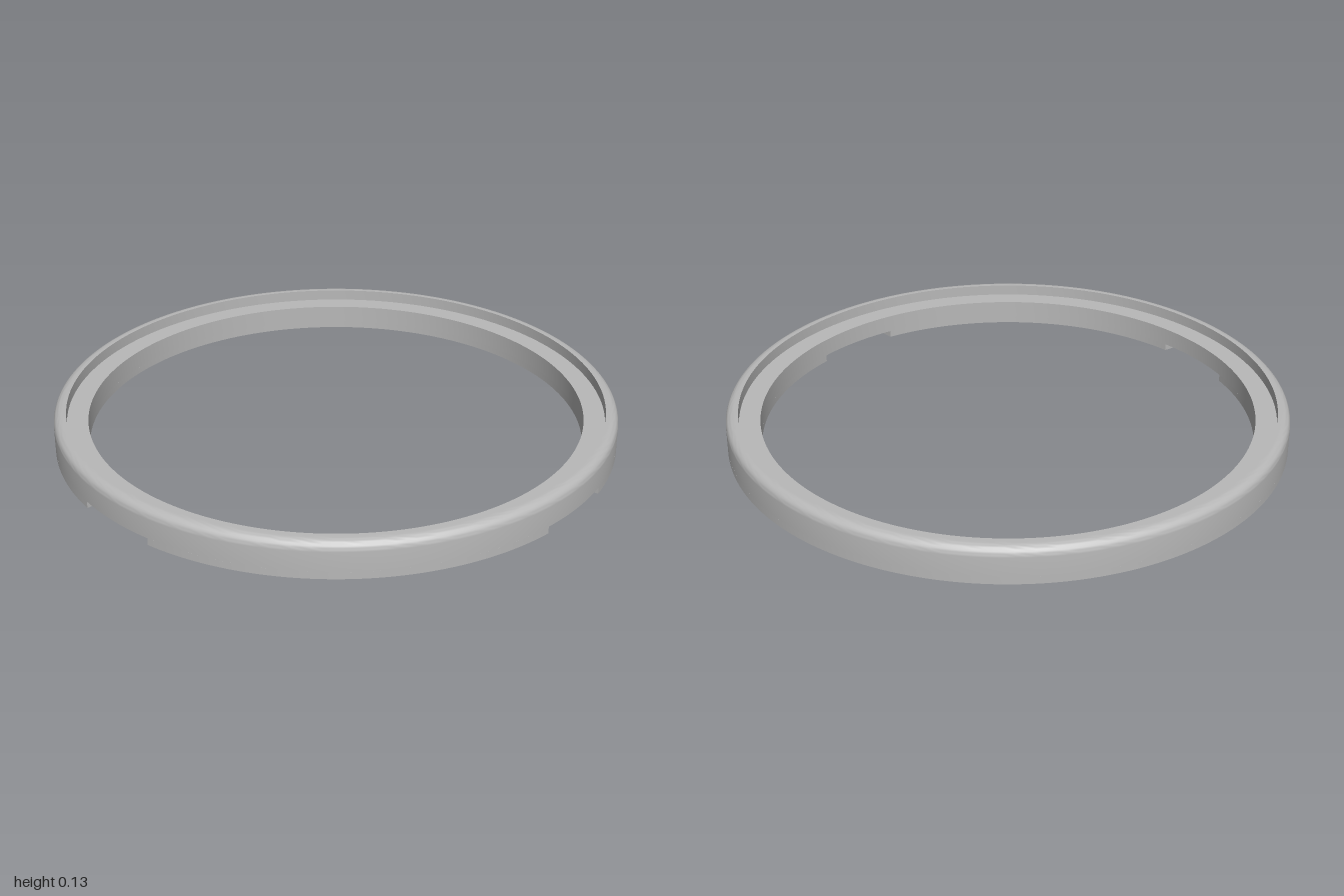
import * as THREE from 'three';
import { toCreasedNormals } from 'three/addons/utils/BufferGeometryUtils.js';

const OUTER = 1, INNER = 0.88, LIP_INNER = 0.955;
const HEIGHT = 0.13, LEDGE_Y = 0.09, NOTCH_Y = 0.025, FILLET = 0.033;
const NOTCH_HALF_WIDTH = 0.16;
const NOTCH_ANGLE = THREE.MathUtils.degToRad(40.9);
const CREASE = Math.PI / 6;

// Notch walls are parallel, so they span a wider angle on the inner circle
const outerHalf = Math.asin(NOTCH_HALF_WIDTH / OUTER);
const innerHalf = Math.asin(NOTCH_HALF_WIDTH / INNER);

// Plan shape of the ring between two notch walls (s = 1 for feet, -1 for notches)
function sector(a, b, s) {
  const shape = new THREE.Shape();
  shape.absarc(0, 0, OUTER, a + s * outerHalf, b - s * outerHalf, false);
  shape.absarc(0, 0, INNER, b - s * innerHalf, a + s * innerHalf, true);
  shape.closePath();
  return shape;
}

export function createModel() {
  const group = new THREE.Group();
  group.name = 'ring';
  const grey = new THREE.MeshStandardMaterial({ color: 0xb8b8b8 });
  grey.name = 'grey';

  const add = (name, geometry) => {
    const mesh = new THREE.Mesh(geometry, grey);
    mesh.name = name;
    group.add(mesh);
    return mesh;
  };

  // Main ring: outer wall, rounded lip, recessed ledge and inner wall
  const profile = [new THREE.Vector2(OUTER, NOTCH_Y)];
  for (let i = 0; i <= 8; i++) {
    const t = (i / 8) * Math.PI / 2;
    profile.push(new THREE.Vector2(
      OUTER - FILLET + FILLET * Math.cos(t),
      HEIGHT - FILLET + FILLET * Math.sin(t)
    ));
  }
  profile.push(
    new THREE.Vector2(LIP_INNER, HEIGHT),
    new THREE.Vector2(LIP_INNER, LEDGE_Y),
    new THREE.Vector2(INNER, LEDGE_Y),
    new THREE.Vector2(INNER, NOTCH_Y)
  );
  add('ringBody', toCreasedNormals(new THREE.LatheGeometry(profile, 192), CREASE));

  // Lower rim, interrupted by the two notches
  const left = NOTCH_ANGLE, right = Math.PI - NOTCH_ANGLE;
  const rims = [['frontRim', left, right], ['backRim', right, left + 2 * Math.PI]];
  for (const [name, a, b] of rims) {
    const geometry = new THREE.ExtrudeGeometry(sector(a, b, 1), {
      depth: NOTCH_Y, bevelEnabled: false, curveSegments: 64
    });
    const rim = add(name, toCreasedNormals(geometry, CREASE));
    rim.rotation.x = Math.PI / 2;
    rim.position.y = NOTCH_Y;
  }

  // Downward-facing roofs of the notches
  for (const [name, a] of [['leftNotchRoof', left], ['rightNotchRoof', right]]) {
    const roof = add(name, new THREE.ShapeGeometry(sector(a, a, -1), 8));
    roof.rotation.x = Math.PI / 2;
    roof.position.y = NOTCH_Y;
  }

  return group;
}
